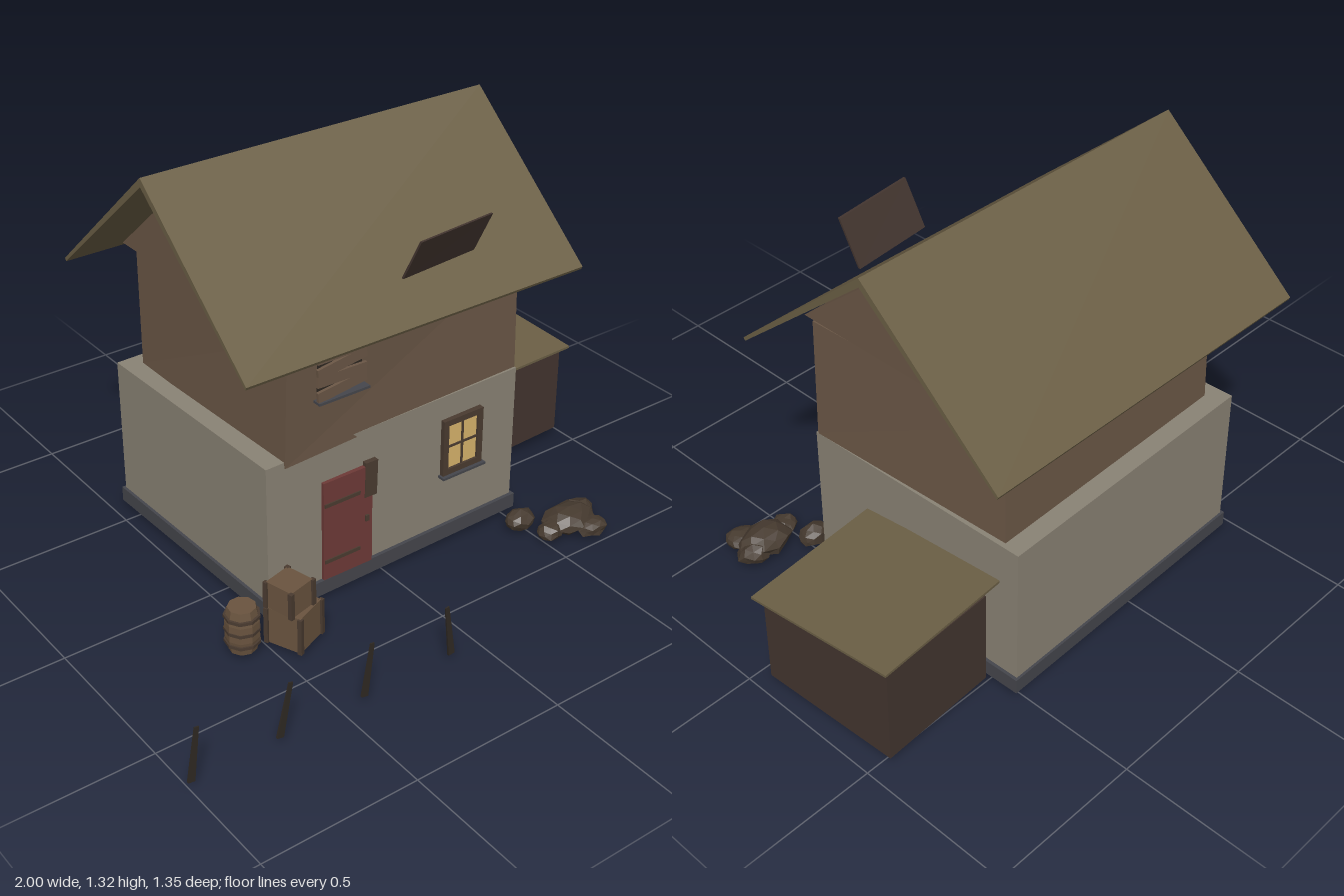
import * as THREE from 'three';

const mat = (color) => new THREE.MeshStandardMaterial({ color, flatShading: true, roughness: 0.9 });
const M = {
  plaster: mat(0x8a8375), timber: mat(0x6b5746), roof: mat(0x6b5f45), stone: mat(0x45464c),
  dark: mat(0x43352f), door: mat(0x6e3a37), glass: mat(0xd8b46c), wood: mat(0x6a543f),
  plank: mat(0x4a3b30), stake: mat(0x2e2822), rock: mat(0x463a2f),
};

// Crooked box: bottom and top corners listed front-left, front-right, back-right, back-left
function hexGeometry(b, t) {
  const pos = [];
  const quad = (p, q, r, s) => pos.push(...p, ...q, ...r, ...p, ...r, ...s);
  for (let i = 0; i < 4; i++) {
    const j = (i + 1) % 4;
    quad(b[i], b[j], t[j], t[i]);
  }
  quad(...t);
  quad(b[3], b[2], b[1], b[0]);
  const g = new THREE.BufferGeometry();
  g.setAttribute('position', new THREE.Float32BufferAttribute(pos, 3));
  g.computeVertexNormals();
  return g;
}

// Side profile given as [z, y], extruded from x0 to x1
function profileGeometry(points, x0, x1) {
  const shape = new THREE.Shape(points.map(([z, y]) => new THREE.Vector2(-z, y)));
  const g = new THREE.ExtrudeGeometry(shape, { depth: x1 - x0, bevelEnabled: false });
  return g.rotateY(Math.PI / 2).translate(x0, 0, 0);
}

// Icosahedron with corners pushed by a repeatable rule
function rockGeometry(rx, ry, rz, seed) {
  const g = new THREE.IcosahedronGeometry(1, 1);
  const p = g.attributes.position;
  for (let i = 0; i < p.count; i++) {
    const x = p.getX(i), y = p.getY(i), z = p.getZ(i);
    const k = 0.9 + 0.16 * Math.sin(x * 5 + seed * 2.1) * Math.cos(y * 4 + z * 6 + seed);
    p.setXYZ(i, x * k * rx, y * k * ry, z * k * rz);
  }
  g.computeVertexNormals();
  return g;
}

export function createModel() {
  const root = new THREE.Group();
  const add = (name, geometry, material, parent = root) => {
    const mesh = new THREE.Mesh(geometry, material);
    mesh.name = name;
    parent.add(mesh);
    return mesh;
  };
  const group = (name) => {
    const g = new THREE.Group();
    g.name = name;
    root.add(g);
    return g;
  };
  const box = (name, [w, h, d], [x, y, z], material, parent, rz = 0) => {
    const m = add(name, new THREE.BoxGeometry(w, h, d), material, parent);
    m.position.set(x, y, z);
    m.rotation.z = rz;
    return m;
  };
  const raise = (corners, y) => corners.map(([x, z]) => [x, y, z]);

  // Foundation and plastered ground floor
  const base = [[-0.44, 0.225], [0.54, 0.205], [0.52, -0.605], [-0.46, -0.585]];
  add('foundation', hexGeometry(raise(base, 0.015), raise(base, 0.065)), M.stone);
  const ground = [[-0.43, 0.213], [0.53, 0.193], [0.51, -0.597], [-0.45, -0.577]];
  add('groundFloor', hexGeometry(raise(ground, 0.06), raise(ground, 0.53)), M.plaster);

  // Crooked upper floor
  add('upperFloor', hexGeometry(
    [[-0.365, 0.51, 0.215], [0.53, 0.53, 0.185], [0.515, 0.555, -0.555], [-0.39, 0.535, -0.52]],
    [[-0.365, 0.93, 0.235], [0.525, 0.93, 0.18], [0.5, 0.93, -0.535], [-0.4, 0.93, -0.5]],
  ), M.timber);

  // Gable block and roof
  add('gable', profileGeometry([[0.22, 0.93], [-0.19, 1.27], [-0.58, 0.93]], -0.4, 0.52), M.timber);
  add('mainRoof', profileGeometry([
    [0.31, 0.885], [-0.19, 1.315], [-0.675, 0.885], [-0.67, 0.875], [-0.19, 1.287], [0.305, 0.875],
  ], -0.55, 0.67), M.roof);
  add('roofHatch', hexGeometry(
    [[0.04, 1, 0.233], [0.325, 1, 0.205], [0.325, 1, 0.197], [0.04, 1, 0.225]],
    [[0.045, 1.14, 0.305], [0.33, 1.14, 0.275], [0.33, 1.14, 0.267], [0.045, 1.14, 0.297]],
  ), M.dark);

  // Lean-to shed
  const shed = group('shed');
  const shedPlan = [[0.57, -0.04], [0.965, -0.06], [0.94, -0.53], [0.545, -0.51]];
  add('shedWalls', hexGeometry(raise(shedPlan, 0.03), raise(shedPlan, 0.35)), M.dark, shed);
  const shedRoof = [[0.53, 0.36, -0.015], [0.995, 0.35, -0.045], [0.965, 0.39, -0.555], [0.5, 0.4, -0.53]];
  add('shedRoof', hexGeometry(shedRoof.map(([x, y, z]) => [x, y - 0.008, z]), shedRoof), M.roof, shed);

  // Door with its step and bracket
  const door = group('door');
  box('doorPanel', [0.18, 0.345, 0.02], [-0.143, 0.237, 0.21], M.door, door);
  for (const y of [0.13, 0.33]) box('doorStrap', [0.13, 0.012, 0.004], [-0.165, y, 0.222], M.plank, door);
  box('doorHandle', [0.012, 0.02, 0.008], [-0.075, 0.23, 0.223], M.plank, door);
  box('wallLantern', [0.045, 0.12, 0.03], [-0.058, 0.362, 0.207], M.plank, door, -0.03);

  // Lit ground floor window
  const win = group('window');
  const wx = 0.305, wy = 0.352, wz = 0.204;
  box('windowPane', [0.13, 0.17, 0.01], [wx, wy, wz - 0.002], M.glass, win);
  for (const s of [-1, 1]) {
    box('frameSide', [0.02, 0.195, 0.022], [wx + s * 0.068, wy, wz], M.plank, win);
    box('frameRail', [0.156, 0.02, 0.022], [wx, wy + s * 0.088, wz], M.plank, win);
  }
  box('muntinUpright', [0.007, 0.16, 0.014], [wx, wy, wz], M.plank, win);
  box('muntinBar', [0.12, 0.007, 0.014], [wx, wy, wz], M.plank, win);
  box('windowSill', [0.17, 0.008, 0.035], [wx, 0.25, wz + 0.005], M.stone, win);

  // Boarded upper window
  const boards = group('boardedWindow');
  box('boardBacking', [0.16, 0.13, 0.01], [-0.175, 0.78, 0.22], M.stake, boards).rotation.y = 0.06;
  [0.08, -0.06, 0.1, -0.04].forEach((tilt, i) => {
    box('board', [0.18, 0.034, 0.01], [-0.175, 0.725 + i * 0.038, 0.231], M.timber, boards, tilt).rotation.y = 0.06;
  });
  box('boardedSill', [0.18, 0.008, 0.03], [-0.175, 0.7, 0.232], M.stone, boards);

  // Barrel with hoops
  const barrel = group('barrel');
  barrel.position.set(-0.572, 0.018, 0.285);
  const stave = [[0, 0], [0.043, 0], [0.052, 0.045], [0.052, 0.1], [0.043, 0.147], [0, 0.147]];
  add('barrelBody', new THREE.LatheGeometry(stave.map(([r, y]) => new THREE.Vector2(r, y)), 9), M.wood, barrel);
  for (const y of [0.03, 0.073, 0.117]) {
    add('barrelHoop', new THREE.CylinderGeometry(0.055, 0.055, 0.01, 9), M.plank, barrel).position.y = y;
  }

  // Stacked crates with corner battens
  const crate = (x, y, z, w, h, turn) => {
    const c = group('crate');
    c.position.set(x, y, z);
    c.rotation.y = turn;
    box('crateBody', [w, h, w], [0, h / 2, 0], M.wood, c);
    for (const sx of [-1, 1]) for (const sz of [-1, 1]) {
      box('crateBatten', [0.014, h, 0.014], [sx * w / 2, h / 2, sz * w / 2], M.plank, c);
    }
  };
  crate(-0.425, 0.015, 0.335, 0.115, 0.122, 0.4);
  crate(-0.44, 0.137, 0.335, 0.095, 0.088, 0.25);

  // Leaning fence stakes
  [[-0.98, -0.14], [-0.69, -0.22], [-0.41, -0.15], [-0.12, 0.12]].forEach(([x, lean]) => {
    const s = add('fenceStake', new THREE.CylinderGeometry(0.008, 0.013, 0.175, 4), M.stake);
    s.geometry.rotateY(Math.PI / 4).scale(1.2, 1, 0.4);
    s.position.set(x, 0.104, 0.668);
    s.rotation.z = lean;
  });

  // Rubble heap
  [
    [0.61, 0.042, 0.39, 0.1, 0.046, 0.075], [0.52, 0.034, 0.4, 0.048, 0.034, 0.042],
    [0.675, 0.036, 0.37, 0.055, 0.036, 0.055], [0.65, 0.03, 0.455, 0.06, 0.032, 0.045],
    [0.485, 0.037, 0.3, 0.06, 0.038, 0.045],
  ].forEach(([x, y, z, ...r], i) => {
    add('rubble', rockGeometry(...r, i + 1), M.rock).position.set(x, y, z);
  });

  return root;
}
